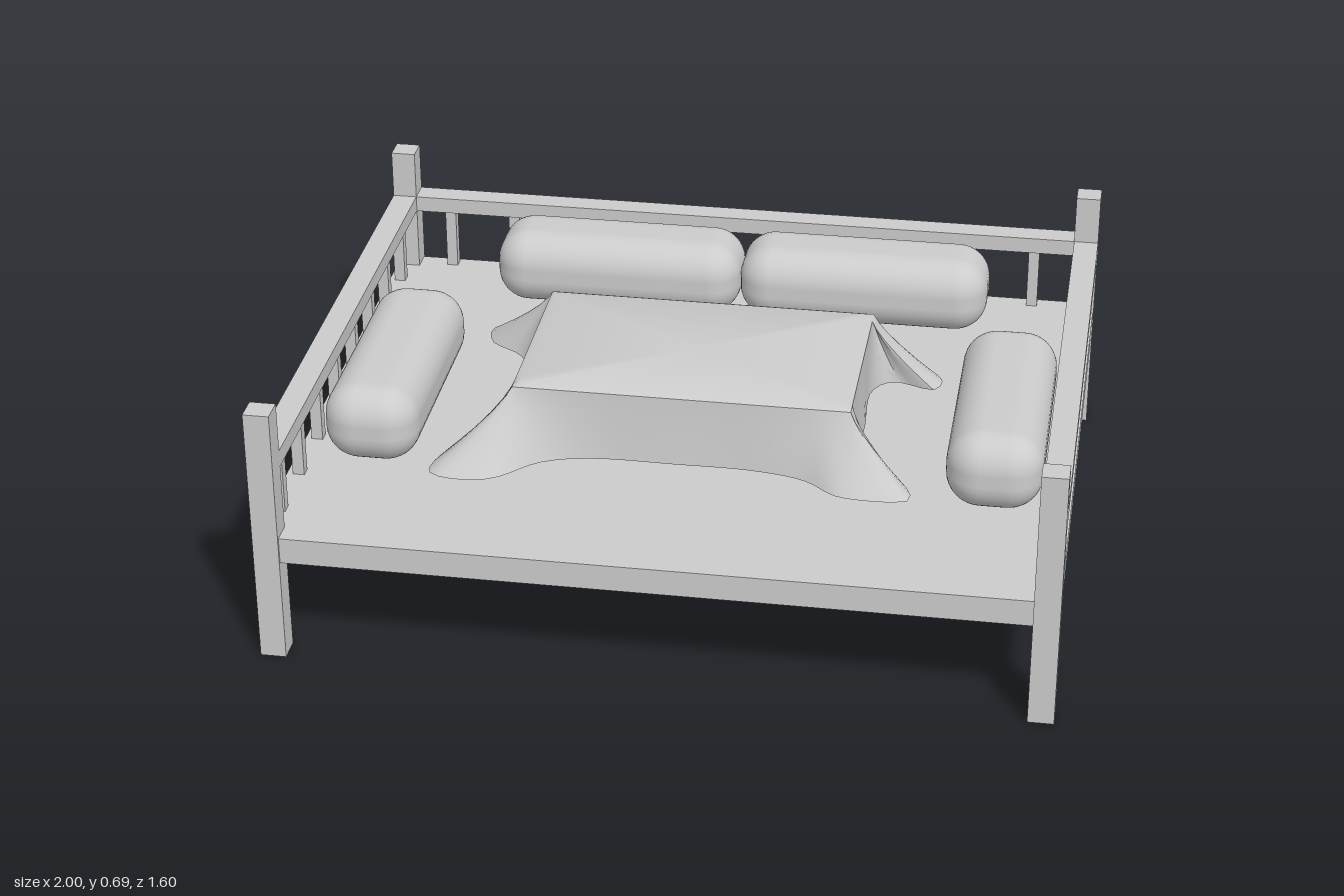
import * as THREE from 'three';
import { toCreasedNormals } from 'three/addons/utils/BufferGeometryUtils.js';
import { RoundedBoxGeometry } from 'three/addons/geometries/RoundedBoxGeometry.js';

const material = new THREE.MeshStandardMaterial({ color: 0xcccccc });
const clothMaterial = new THREE.MeshStandardMaterial({ color: 0xcccccc, side: THREE.DoubleSide });

function add(group, name, geometry, x, y, z, mat = material) {
  const mesh = new THREE.Mesh(geometry, mat);
  mesh.name = name;
  mesh.position.set(x, y, z);
  group.add(mesh);
  return mesh;
}
const box = (w, h, d) => new THREE.BoxGeometry(w, h, d);

// Hem of the draped cloth seen from above (x, z), with flared corners
const HEM = [
  [-0.61, -0.27], [-0.6, -0.19], [-0.5, -0.1], [-0.46, 0.04], [-0.465, 0.18], [-0.5, 0.29],
  [-0.575, 0.37], [-0.61, 0.525], [-0.46, 0.54], [-0.34, 0.45], [-0.22, 0.417], [0, 0.413],
  [0.2, 0.415], [0.33, 0.44], [0.43, 0.5], [0.6, 0.475], [0.55, 0.37], [0.46, 0.335],
  [0.452, 0.14], [0.452, -0.05], [0.5, -0.11], [0.61, -0.1], [0.62, -0.175], [0.42, -0.215],
  [0.25, -0.19], [0, -0.163], [-0.28, -0.18], [-0.43, -0.28],
];

// Cloth: rings running from the centre of the flat top down to the hem
function clothGeometry() {
  const x0 = -0.42, x1 = 0.44, z0 = -0.14, z1 = 0.395;
  const curve = new THREE.CatmullRomCurve3(HEM.map(([x, z]) => new THREE.Vector3(x, 0, z)), true, 'centripetal');
  const count = 140, drop = [0, 0.12, 0.3, 0.5, 0.7, 0.87, 1];
  const hem = curve.getSpacedPoints(count);
  const clamp = THREE.MathUtils.clamp;
  const positions = [], indices = [];
  const rings = drop.length + 2;
  for (let r = 0; r < rings; r++) {
    for (const p of hem) {
      const ex = clamp(p.x, x0, x1), ez = clamp(p.z, z0, z1);
      if (r === 0) {
        positions.push(0.01, 0.61, 0.13);
      } else if (r === 1) {
        positions.push(clamp(p.x, x0 + 0.015, x1 - 0.015), 0.609, clamp(p.z, z0 + 0.015, z1 - 0.015));
      } else {
        const t = drop[r - 2], s = Math.pow(t, 1.25);
        const flare = Math.min(1, Math.hypot(p.x - ex, p.z - ez) / 0.18);
        const low = 0.425 - 0.015 * flare;
        positions.push(ex + (p.x - ex) * s, 0.602 + (low - 0.602) * t, ez + (p.z - ez) * s);
      }
    }
  }
  const row = count + 1;
  for (let r = 0; r < rings - 1; r++) {
    for (let j = 0; j < count; j++) {
      const a = r * row + j, b = a + row;
      indices.push(a, b, b + 1);
      if (r > 0) indices.push(a, b + 1, a + 1);
    }
  }
  const geometry = new THREE.BufferGeometry();
  geometry.setAttribute('position', new THREE.Float32BufferAttribute(positions, 3));
  geometry.setIndex(indices);
  return toCreasedNormals(geometry, 0.7);
}

export function createModel() {
  const model = new THREE.Group();
  model.name = 'daybed';

  // Platform and corner posts
  add(model, 'platform', box(1.996, 0.07, 1.586), 0, 0.31, 0);
  for (const x of [-0.967, 0.967]) {
    for (const z of [-0.767, 0.767]) add(model, 'cornerPost', box(0.066, 0.695, 0.066), x, 0.3475, z);
  }

  // Railings on both sides and the back; the front stays open
  for (const x of [-0.967, 0.967]) {
    const side = new THREE.Group();
    side.name = x < 0 ? 'rightRailing' : 'leftRailing';
    add(side, 'topRail', box(0.066, 0.044, 1.47), x, 0.541, 0);
    for (let i = 0; i < 8; i++) add(side, 'baluster', box(0.03, 0.18, 0.03), x, 0.432, -0.647 + i * 0.185);
    model.add(side);
  }
  const back = new THREE.Group();
  back.name = 'backRailing';
  add(back, 'topRail', box(1.87, 0.044, 0.066), 0, 0.541, -0.767);
  for (let i = 0; i < 10; i++) add(back, 'baluster', box(0.03, 0.18, 0.03), -0.84 + i * 0.185, 0.432, -0.767);
  model.add(back);

  // Bolster cushions
  const bolster = new RoundedBoxGeometry(0.245, 0.207, 0.685, 5, 0.088);
  add(model, 'rightBolster', bolster, -0.792, 0.4625, 0.11);
  add(model, 'leftBolster', bolster, 0.803, 0.4625, 0.11);
  for (const x of [-0.316, 0.368]) add(model, 'backBolster', bolster, x, 0.4645, -0.605).rotation.y = Math.PI / 2;

  // Cloth draped over the middle
  add(model, 'drapedCloth', clothGeometry(), 0, 0, 0, clothMaterial);
  return model;
}
